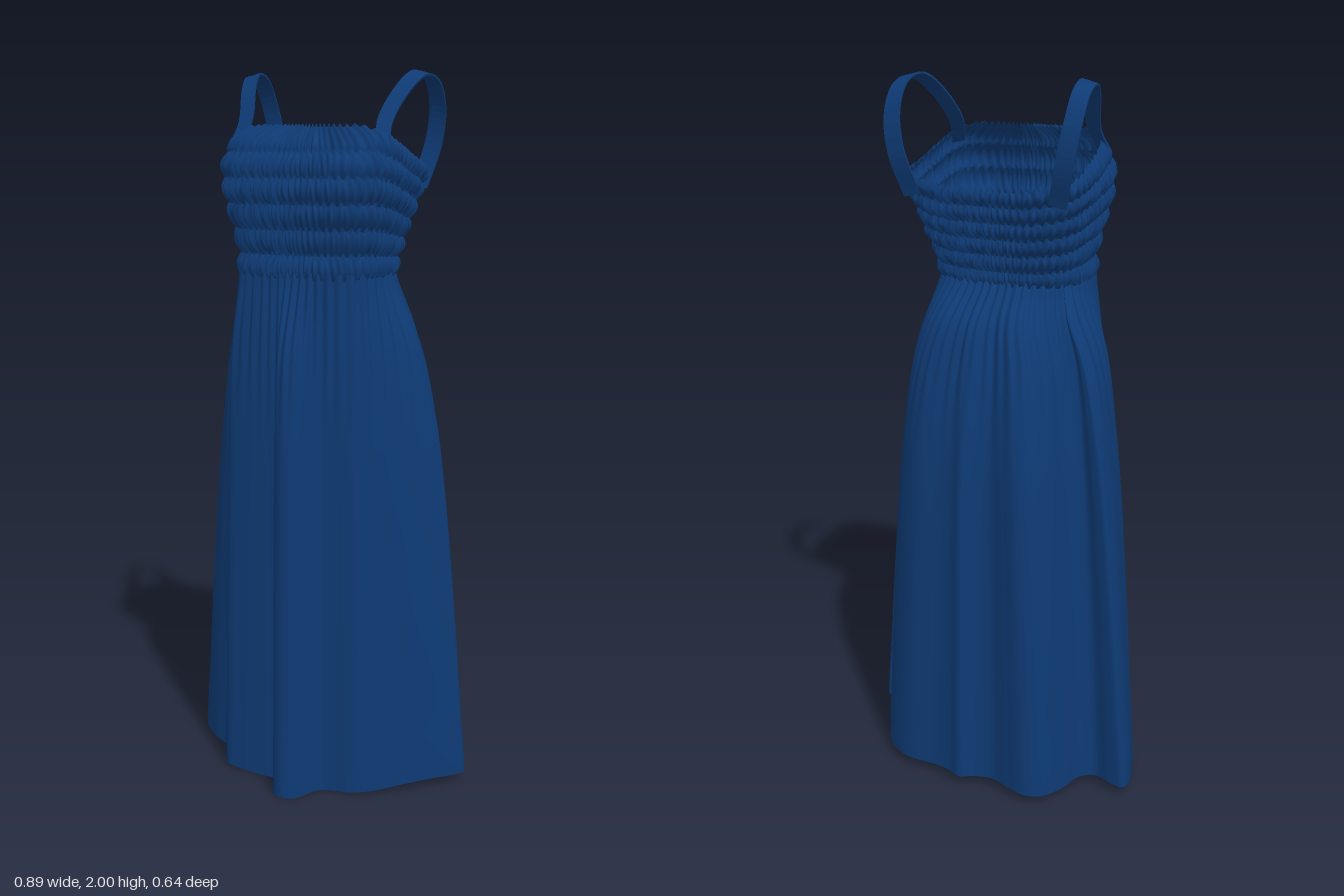
import * as THREE from 'three';

const fabric = new THREE.MeshStandardMaterial({ color: 0x0e3a74, side: THREE.DoubleSide });
fabric.name = 'navy fabric';

const CZ = 0.03; // depth of the body axis
const { clamp, lerp, smoothstep } = THREE.MathUtils;

// Smooth function through evenly spaced values, t from 0 to 1
function spline(values) {
  const curve = new THREE.SplineCurve(values.map((v, i) => new THREE.Vector2(i, v)));
  return (t) => curve.getPoint(clamp(t, 0, 1)).y;
}

// Closed surface from rings: f(u, v) gives a point, u runs around and v upwards
function loft(nu, nv, f) {
  const pos = [], index = [];
  for (let j = 0; j <= nv; j++) {
    for (let i = 0; i < nu; i++) {
      pos.push(...f(i / nu, j / nv));
      if (j === nv) continue;
      const a = j * nu + i, b = j * nu + ((i + 1) % nu);
      index.push(a, b, b + nu, a, b + nu, a + nu);
    }
  }
  const geo = new THREE.BufferGeometry();
  geo.setAttribute('position', new THREE.Float32BufferAttribute(pos, 3));
  geo.setIndex(index);
  geo.computeVertexNormals();
  return geo;
}

// Rounded-square radius at angle a (0 = front, turning towards +x); backN squares the back corners
function ringRadius(a, halfX, front, back, backN) {
  const c = Math.cos(a), s = Math.sin(a);
  const halfZ = c > 0 ? front - CZ : back + CZ;
  const n = c > 0 ? 3.4 : backN;
  return (Math.abs(s / halfX) ** n + Math.abs(c / halfZ) ** n) ** (-1 / n);
}

// Bodice half width, front depth and back depth from waist to neckline
const Y0 = 1.45, Y1 = 1.87;
const bodiceX = spline([0.2, 0.205, 0.22, 0.237, 0.248, 0.237, 0.215]);
const bodiceFront = spline([0.2, 0.193, 0.205, 0.219, 0.217, 0.19, 0.12]);
const bodiceBack = spline([0.108, 0.118, 0.135, 0.153, 0.168, 0.175, 0.175]);

function makeBodice() {
  const rows = 6;
  return loft(460, 66, (u, v) => {
    const a = u * Math.PI * 2;
    // the neckline slopes from a high front to a low back
    const top = 1.72 + 0.135 * clamp((Math.cos(a) + 0.85) / 1.35, 0, 1);
    const y = lerp(Y0, top, v), t = (y - Y0) / (Y1 - Y0);
    // elastic rows with puffs and fine gathers between them
    const row = Math.min(rows - 1, Math.floor(v * rows));
    const puff = Math.abs(Math.sin(v * rows * Math.PI));
    const gather = Math.sin(89 * a + row * 1.7 + 3 * Math.sin(7 * a + row)) * 0.004
      + Math.sin(53 * a - row * 2.3 + 2 * Math.sin(4 * a - row)) * 0.003;
    const r = ringRadius(a, bodiceX(t), bodiceFront(t), bodiceBack(t), lerp(2.5, 8, t))
      + 0.012 * puff + gather * (0.35 + 0.65 * puff);
    const wobble = 0.005 * Math.sin(67 * a + row * 2.1) * (v > 0.02 ? 1 : 0);
    return [Math.sin(a) * r, y + wobble, CZ + Math.cos(a) * r];
  });
}

// Folded hem outline (x, z), from the front round by +x
const hem = new THREE.CatmullRomCurve3([
  [0.02, 0.318], [0.052, 0.303], [0.072, 0.26], [0.092, 0.23], [0.13, 0.22], [0.18, 0.215], [0.23, 0.195],
  [0.29, 0.15], [0.36, 0.09], [0.42, 0.035], [0.443, 0], [0.43, -0.015], [0.395, 0.005],
  [0.35, -0.02], [0.343, -0.09], [0.325, -0.18], [0.28, -0.25], [0.2, -0.295], [0.1, -0.297],
  [0.05, -0.305], [0.01, -0.32], [-0.03, -0.3], [-0.08, -0.287], [-0.14, -0.305], [-0.2, -0.32],
  [-0.245, -0.305], [-0.285, -0.24], [-0.305, -0.165], [-0.345, -0.137], [-0.4, -0.155],
  [-0.438, -0.158], [-0.445, -0.12], [-0.42, -0.04], [-0.39, 0.035], [-0.33, 0.09],
  [-0.26, 0.13], [-0.225, 0.205], [-0.17, 0.215], [-0.1, 0.22], [-0.045, 0.225], [-0.034, 0.275], [-0.015, 0.308],
].map(([x, z]) => new THREE.Vector3(x, 0, z)), true);

// How far the skirt has opened, from hem (1) to waist (0)
const openX = spline([1, 0.93, 0.86, 0.78, 0.69, 0.57, 0.38, 0]);
const openBack = spline([1, 0.99, 0.98, 0.97, 0.955, 0.94, 0.925, 0.91, 0.89, 0.86, 0.81, 0.73, 0.62, 0.44, 0]);
const openFront = spline([1, 0.95, 0.91, 0.86, 0.81, 0.74, 0.55, 0]);

function makeSkirt() {
  const waistY = 1.47;
  return loft(380, 64, (u, v) => {
    const h = hem.getPoint(u);
    const a = Math.atan2(h.x, h.z - CZ);
    const r = ringRadius(a, 0.205, 0.205, 0.113, 2.5);
    // small gathers that fade out below the waist
    const gather = 0.005 * Math.sin(46 * a + 2 * Math.sin(3 * a)) * smoothstep(v, 0.65, 0.97);
    const openZ = lerp(openBack(v), openFront(v), smoothstep(h.z, -0.1, 0.2));
    const x = lerp(Math.sin(a) * r, h.x, openX(v)) + Math.sin(a) * gather;
    const z = lerp(CZ + Math.cos(a) * r, h.z, openZ) + Math.cos(a) * gather;
    const hemY = 0.034 - 0.029 * smoothstep(h.z, -0.1, 0.23) * (1 - smoothstep(Math.abs(h.x), 0.1, 0.45));
    return [x, lerp(hemY, waistY, v), z];
  });
}

// Flat band over the shoulder, side = 1 or -1
function makeStrap(side) {
  const path = new THREE.CatmullRomCurve3([
    [0.222, 1.8, 0.115], [0.208, 1.865, 0.075], [0.234, 1.955, 0.005], [0.254, 1.993, -0.06],
    [0.262, 1.975, -0.13], [0.26, 1.9, -0.178], [0.243, 1.8, -0.188], [0.213, 1.69, -0.16],
  ].map(([x, y, z]) => new THREE.Vector3(x * side, y, z)));
  const corners = [[-1, -1], [1, -1], [1, 1], [-1, 1]];
  const across = new THREE.Vector3(1, -0.25 * side, 0).normalize();
  const geo = loft(4, 40, (u, v) => {
    const p = path.getPoint(v);
    const out = new THREE.Vector3().crossVectors(across, path.getTangent(v)).normalize();
    const [w, d] = corners[Math.round(u * 4)];
    const half = lerp(0.021, 0.026, v);
    return p.addScaledVector(across, w * half).addScaledVector(out, d * 0.003).toArray();
  });
  const flat = geo.toNonIndexed();
  flat.computeVertexNormals();
  return flat;
}

export function createModel() {
  const dress = new THREE.Group();
  dress.name = 'dress';
  const add = (name, geo) => {
    const mesh = new THREE.Mesh(geo, fabric);
    mesh.name = name;
    dress.add(mesh);
  };
  add('shirredBodice', makeBodice());
  add('skirt', makeSkirt());
  add('leftStrap', makeStrap(1));
  add('rightStrap', makeStrap(-1));
  return dress;
}
